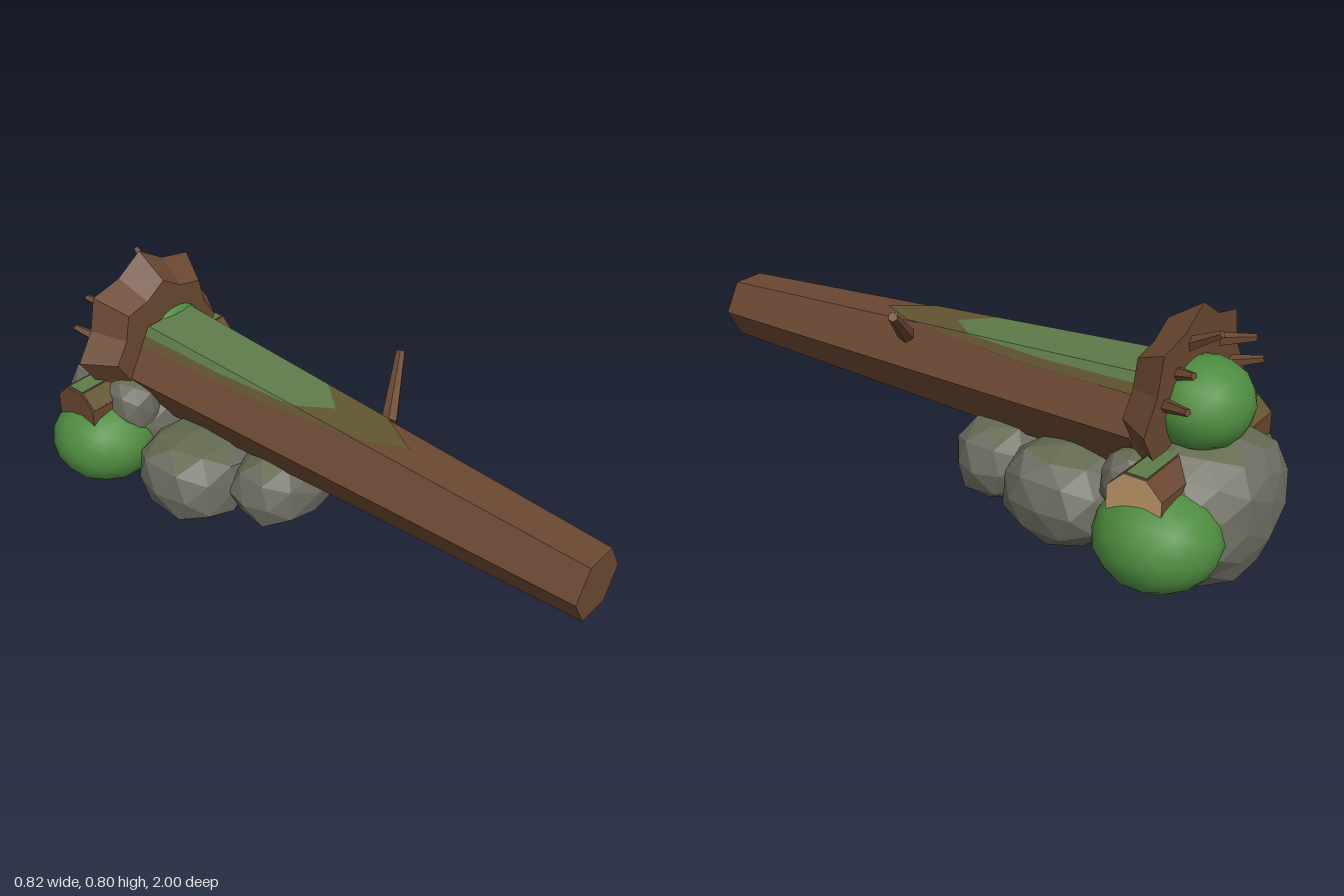
import * as THREE from 'three';

const mat = (name, color) => Object.assign(new THREE.MeshStandardMaterial({ color }), { name });
const M = {
  bark: mat('bark', 0x6b4832),
  moss: mat('moss', 0x5e7b4a),
  olive: mat('fadedMoss', 0x615632),
  rock: mat('rock', 0x6d6d62),
  mossRock: mat('mossyRock', 0x646b50),
  leaf: mat('leaves', 0x4f8c40),
  wood: mat('cutWood', 0xc39a6a),
};

// Corner of the log's six-sided section; k counts corners from +x, z runs along the log
function logCorner(k, z, lift = 0) {
  const t = (1 - z) / 1.64;
  const r = 0.11 + 0.07 * t + lift;
  const a = (k * Math.PI) / 3;
  return new THREE.Vector3(r * Math.cos(a), 0.393 + 0.052 * t + r * Math.sin(a), z);
}

// Faceted solid between a front ring and a back ring, closed by caps
function loft(front, back) {
  const mid = (ring) => ring.reduce((s, p) => s.add(p), new THREE.Vector3()).divideScalar(ring.length);
  const cf = mid(front), cb = mid(back), pts = [];
  front.forEach((f, i) => {
    const j = (i + 1) % front.length;
    pts.push(cf, f, front[j], cb, back[j], back[i]);
    pts.push(f, back[i], back[j], f, back[j], front[j]);
  });
  const g = new THREE.BufferGeometry().setFromPoints(pts);
  g.computeVertexNormals();
  return g;
}

// Moss lying on one log face, outlined by (fraction across the face, z)
function logPatch(face, outline) {
  const g = new THREE.ShapeGeometry(new THREE.Shape(outline.map(([u, z]) => new THREE.Vector2(u, z))));
  const p = g.attributes.position;
  for (let i = 0; i < p.count; i++) {
    const u = p.getX(i), z = p.getY(i);
    const v = logCorner(face, z, 0.004).lerp(logCorner(face + 1, z, 0.004), u);
    p.setXYZ(i, v.x, v.y, v.z);
  }
  g.computeVertexNormals();
  return g;
}

// Blocky faceted boulder; corners are shifted by a hash so shared corners stay together
function boulder(detail, size, seed, rough) {
  const g = new THREE.IcosahedronGeometry(1, detail);
  const p = g.attributes.position, v = new THREE.Vector3();
  const blunt = (c) => Math.sign(c) * Math.abs(c) ** 0.86;
  for (let i = 0; i < p.count; i++) {
    v.fromBufferAttribute(p, i);
    const h = Math.sin(Math.round(v.x * 100) * 12.9 + Math.round(v.y * 100) * 78.2 + Math.round(v.z * 100) * 37.7 + seed) * 437.5;
    const s = 1 + rough * (h - Math.floor(h) - 0.6);
    p.setXYZ(i, blunt(v.x) * s * size[0], blunt(v.y) * s * size[1], blunt(v.z) * s * size[2]);
  }
  g.computeVertexNormals();
  // faces that look up carry a little moss
  for (let i = 0; i < p.count; i += 3) g.addGroup(i, 3, g.attributes.normal.getY(i) > 0.84 ? 1 : 0);
  return g;
}

// Tapered stick between two points
function stick(from, to, r0, r1, sides = 6) {
  const a = new THREE.Vector3(...from), b = new THREE.Vector3(...to);
  const d = b.clone().sub(a);
  const g = new THREE.CylinderGeometry(r1, r0, d.length(), sides).toNonIndexed();
  g.computeVertexNormals();
  g.applyQuaternion(new THREE.Quaternion().setFromUnitVectors(new THREE.Vector3(0, 1, 0), d.normalize()));
  const c = a.add(b).multiplyScalar(0.5);
  return g.translate(c.x, c.y, c.z);
}

export function createModel() {
  const model = new THREE.Group();
  model.name = 'fallenTree';
  const add = (name, geo, material, pos = [0, 0, 0]) => {
    const m = new THREE.Mesh(geo, material);
    m.name = name;
    m.position.set(...pos);
    model.add(m);
    return m;
  };

  // Fallen trunk
  const ring = (z) => [0, 1, 2, 3, 4, 5].map((k) => logCorner(k, z));
  add('trunk', loft(ring(1), ring(-0.64)), M.bark);

  // Moss along the top of the trunk, fading to olive towards the front and sides
  add('trunkMoss', logPatch(1, [[0, -0.63], [1, -0.63], [1, -0.02], [0.5, 0.08], [0, -0.02]]), M.moss);
  add('trunkMossEdge', logPatch(1, [[0, -0.02], [0.5, 0.08], [1, -0.02], [1, 0.22], [0.5, 0.36], [0, 0.22]]), M.olive);
  for (const [face, side] of [[0, 'left'], [2, 'right']]) {
    const across = (u) => (face === 0 ? 1 - u : u);
    const strip = (pts) => logPatch(face, pts.map(([u, z]) => [across(u), z]));
    add(side + 'Moss', strip([[0, -0.63], [0.18, -0.63], [0.14, -0.3], [0, 0]]), M.moss);
    add(side + 'MossEdge', strip([[0.18, -0.63], [0.36, -0.63], [0.28, -0.2], [0, 0.2], [0, 0], [0.14, -0.3]]), M.olive);
  }

  // Star-shaped root plate, wider at the back
  const star = (scale, z) => Array.from({ length: 16 }, (_, i) => {
    const a = Math.PI / 2 + (i * Math.PI) / 8;
    const r = scale * (i % 2 ? 0.248 : 0.29);
    return new THREE.Vector3(-0.01 + r * Math.cos(a), 0.515 + r * Math.sin(a), z);
  });
  add('rootPlate', loft(star(0.76, -0.635), star(1, -0.74)), M.bark);

  // Broken roots behind the plate
  [
    [[0.045, 0.7, -0.73], [0.055, 0.757, -0.83]],
    [[-0.14, 0.65, -0.73], [-0.17, 0.67, -0.83]],
    [[-0.2, 0.56, -0.73], [-0.23, 0.585, -0.83]],
    [[0.17, 0.57, -0.73], [0.22, 0.595, -0.83]],
    [[0.11, 0.64, -0.73], [0.14, 0.66, -0.8]],
    [[-0.18, 0.46, -0.73], [-0.21, 0.45, -0.81]],
  ].forEach(([a, b]) => add('root', stick(a, b, 0.021, 0.011, 5), M.bark));

  // Snapped side branch
  add('branch', stick([0.1, 0.51, 0.205], [0.265, 0.643, 0.115], 0.027, 0.015), M.bark);

  // Boulders under the trunk
  [
    ['frontBoulder', 1, [0.205, 0.14, 0.142], [0.015, 0.187, -0.138]],
    ['middleRightBoulder', 1, [0.18, 0.152, 0.19], [-0.15, 0.185, -0.39]],
    ['middleLeftBoulder', 1, [0.17, 0.152, 0.185], [0.13, 0.185, -0.415]],
    ['backBoulder', 2, [0.27, 0.228, 0.243], [0, 0.227, -0.76]],
    ['rightShoulderRock', 1, [0.095, 0.115, 0.1], [-0.16, 0.335, -0.66]],
    ['leftShoulderRock', 1, [0.095, 0.105, 0.1], [0.16, 0.31, -0.66]],
  ].forEach(([name, detail, size, pos], i) =>
    add(name, boulder(detail, size, 1 + 4 * i, 0.1), [M.rock, M.mossRock], pos));

  // Short cross log with a pale cut end
  const cross = new THREE.CylinderGeometry(0.09, 0.09, 0.655, 8).toNonIndexed();
  cross.computeVertexNormals();
  cross.rotateY(Math.PI / 8).rotateZ(-Math.PI / 2);
  add('crossLog', cross, [M.bark, M.wood, M.bark], [-0.003, 0.342, -0.745]);

  // Moss plates over the top of the cross log, wrapping further round on the right
  [
    [0, 0.64, -0.003, M.moss],
    [Math.PI / 4, 0.18, -0.235, M.olive],
    [-Math.PI / 4, 0.18, -0.235, M.olive],
  ].forEach(([tilt, length, x, material]) => {
    const plate = new THREE.BoxGeometry(length, 0.005, 0.062).translate(0, 0.0835, 0).rotateX(tilt);
    add('crossLogMoss', plate, material, [x, 0.342, -0.745]);
  });

  // Rounded bushes, and a tuft where the trunk meets the root plate
  [
    ['leftBush', [0.235, 0.215, -0.775], [0.178, 0.148, 0.182]],
    ['rightBush', [-0.235, 0.215, -0.725], [0.178, 0.148, 0.178]],
    ['rearBush', [0.015, 0.53, -0.77], [0.155, 0.132, 0.145]],
    ['trunkTuft', [0.035, 0.56, -0.635], [0.092, 0.062, 0.022]],
  ].forEach(([name, pos, size]) => add(name, new THREE.IcosahedronGeometry(1, 2), M.leaf, pos).scale.set(...size));

  return model;
}
